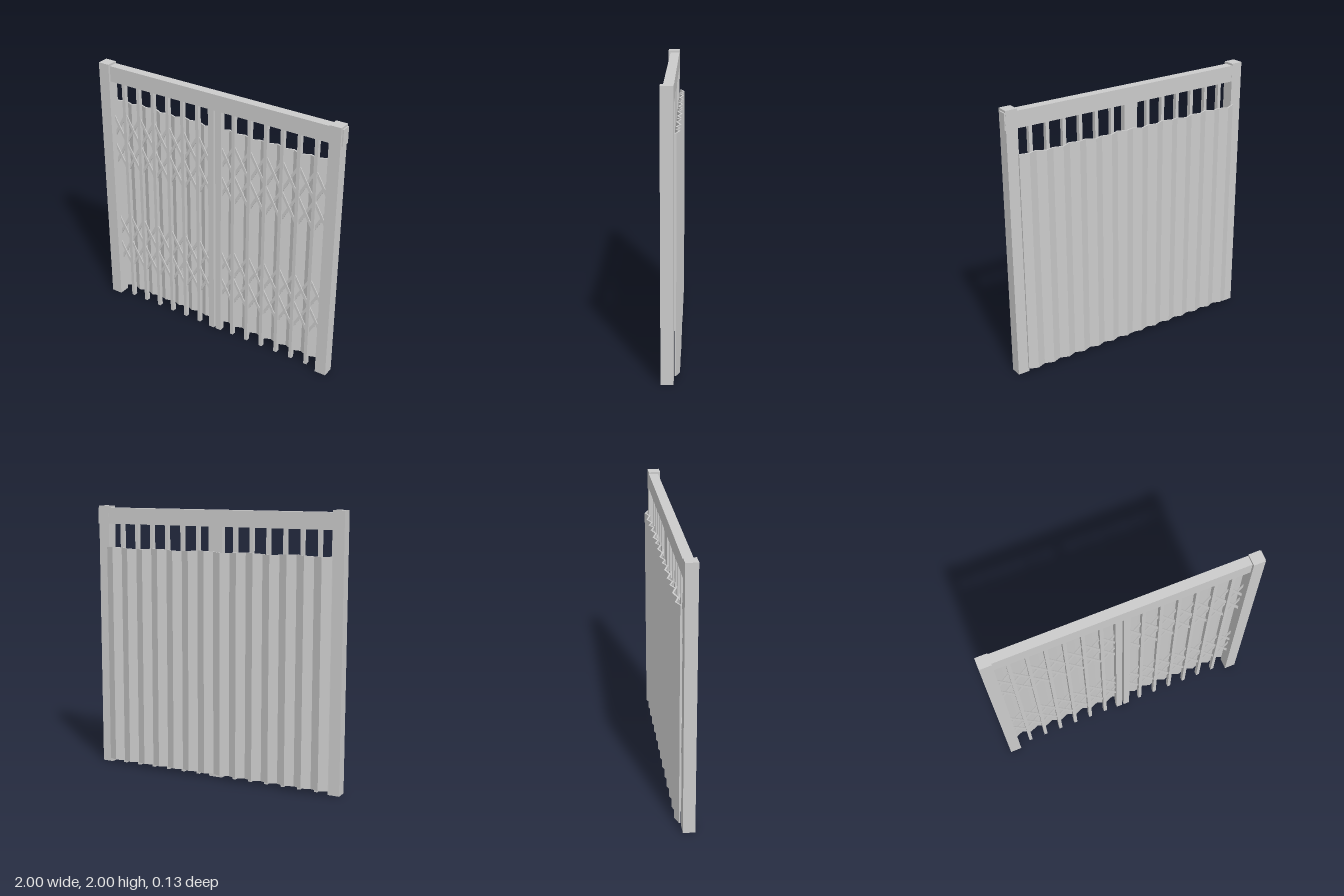
import * as THREE from 'three';

const material = new THREE.MeshStandardMaterial({ color: 0xcccccc, flatShading: true });

// Box given by its min/max limits on each axis
function block(name, [x0, x1], [y0, y1], [z0, z1]) {
  const mesh = new THREE.Mesh(new THREE.BoxGeometry(x1 - x0, y1 - y0, z1 - z0), material);
  mesh.position.set((x0 + x1) / 2, (y0 + y1) / 2, (z0 + z1) / 2);
  mesh.name = name;
  return mesh;
}

// Folded sheet behind the gate, with a slightly uneven top edge
function foldedSheet() {
  const folds = 28, left = -0.92, width = 1.83, half = 0.006;
  const front = [], back = [];
  for (let i = 0; i <= folds; i++) {
    const x = left + (width * i) / folds;
    const depth = i % 2 ? 0.058 : 0.032;
    front.push(new THREE.Vector2(x, depth - half));
    back.push(new THREE.Vector2(x, depth + half));
  }
  const shape = new THREE.Shape([...front, ...back.reverse()]);
  const geometry = new THREE.ExtrudeGeometry(shape, { depth: 1.66, bevelEnabled: false });
  geometry.rotateX(-Math.PI / 2);
  geometry.translate(0, 0.03, 0);
  const p = geometry.attributes.position;
  for (let i = 0; i < p.count; i++) {
    if (p.getY(i) > 1) p.setY(i, 1.687 + 0.005 * Math.sin(p.getX(i) * 17));
  }
  geometry.computeVertexNormals();
  const mesh = new THREE.Mesh(geometry, material);
  mesh.name = 'foldedSheet';
  return mesh;
}

export function createModel() {
  const gate = new THREE.Group();
  gate.name = 'foldingGate';

  // Frame
  gate.add(block('rightPost', [-1, -0.912], [0, 2], [-0.022, 0.065]));
  gate.add(block('leftPost', [0.902, 0.988], [0, 2], [-0.022, 0.065]));
  gate.add(block('topBeam', [-0.92, 0.997], [1.865, 1.985], [-0.021, 0.049]));

  // Meeting stiles with a recessed strip between them
  gate.add(block('rightStile', [-0.062, -0.015], [0, 1.87], [-0.008, 0.035]));
  gate.add(block('leftStile', [0, 0.048], [0, 1.87], [-0.008, 0.035]));
  gate.add(block('stileRecess', [-0.015, 0], [0, 1.87], [-0.008, 0.002]));

  gate.add(foldedSheet());

  // Each leaf: six upright bars and seven bays of crossed strips
  const pitch = 0.1305, rise = 0.23;
  const length = Math.hypot(pitch, rise);
  const stripGeometry = new THREE.BoxGeometry(0.02, length, 0.007);
  for (const [leafName, firstBar] of [['rightLeaf', -0.813], ['leftLeaf', 0.145]]) {
    const leaf = new THREE.Group();
    leaf.name = leafName;
    for (let i = 0; i < 6; i++) {
      const x = firstBar + i * pitch;
      leaf.add(block('uprightBar', [x - 0.013, x + 0.013], [0, 1.87], [-0.002, 0.03]));
    }
    for (let bay = 0; bay < 7; bay++) {
      for (const y of [0.4, 0.63, 1.27, 1.5]) {
        for (const side of [-1, 1]) {
          const strip = new THREE.Mesh(stripGeometry, material);
          strip.name = 'latticeStrip';
          strip.position.set(firstBar + (bay - 0.5) * pitch, y, 0.014 + side * 0.0035);
          strip.rotation.z = side * Math.atan2(pitch, rise);
          leaf.add(strip);
        }
      }
    }
    gate.add(leaf);
  }
  return gate;
}
